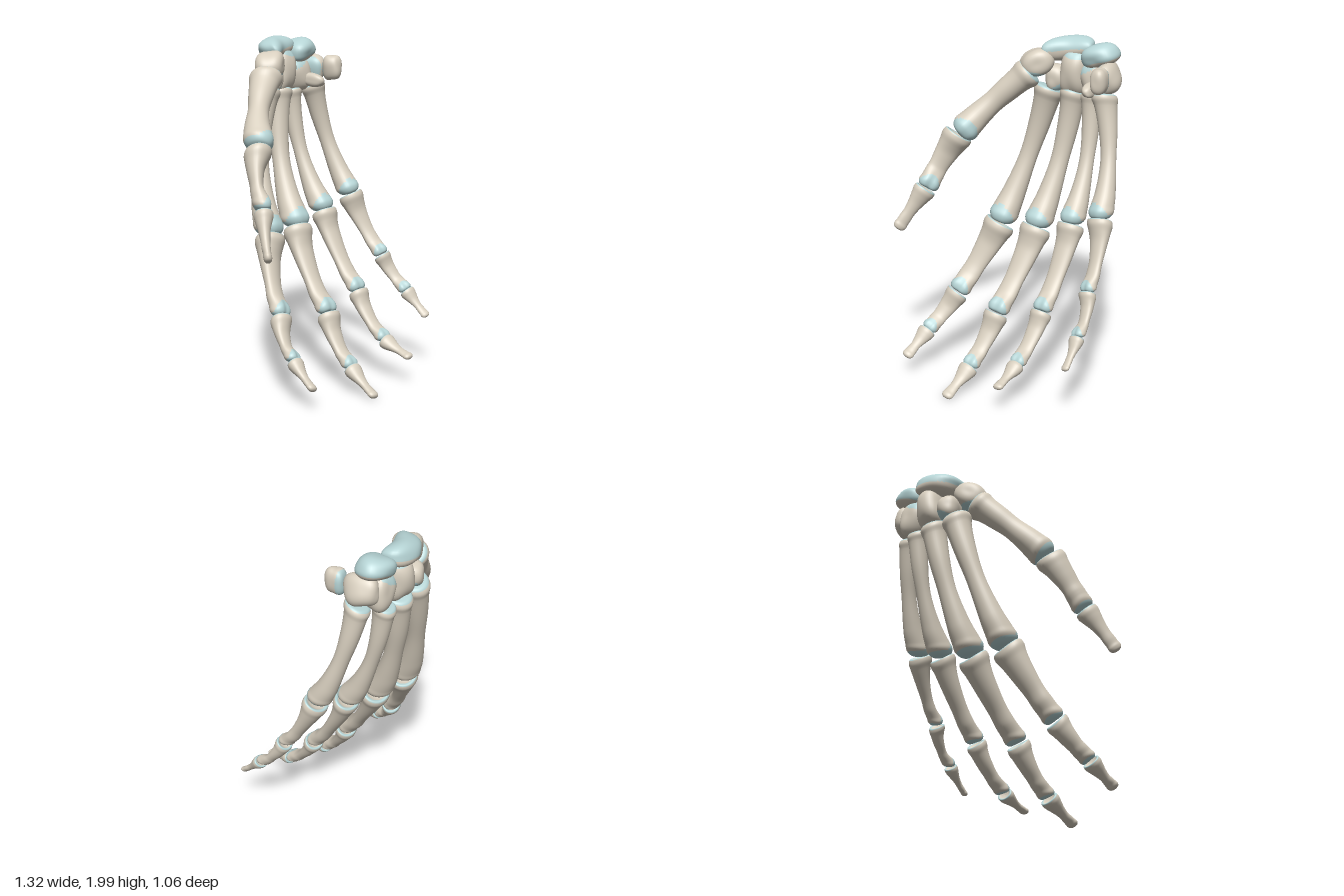
import * as THREE from 'three';
import { mergeVertices } from 'three/addons/utils/BufferGeometryUtils.js';

const V = (a) => new THREE.Vector3(...a);
const boneMat = new THREE.MeshStandardMaterial({ color: 0xd8cfbf });
const cartilageMat = new THREE.MeshStandardMaterial({ color: 0xb7d5d6 });
const { smoothstep, lerp } = THREE.MathUtils;

// Mesh with two material groups: bone surface and cartilage surface
function twoToneMesh(name, positions, boneIdx, cartIdx) {
  let geo = new THREE.BufferGeometry();
  geo.setAttribute('position', new THREE.Float32BufferAttribute(positions, 3));
  geo.setIndex([...boneIdx, ...cartIdx]);
  geo.addGroup(0, boneIdx.length, 0);
  geo.addGroup(boneIdx.length, cartIdx.length, 1);
  geo = mergeVertices(geo, 1e-5);
  geo.computeVertexNormals();
  const mesh = new THREE.Mesh(geo, [boneMat, cartilageMat]);
  mesh.name = name;
  return mesh;
}

// Long bone lofted from a to b: cupped base, narrow waist, rounded or two-knuckled head
function longBone(name, a, b, o) {
  const A = V(a), d = V(b).sub(A), L = d.length();
  d.normalize();
  const p = V(o.palm).addScaledVector(d, -V(o.palm).dot(d)).normalize();
  const s = new THREE.Vector3().crossVectors(p, d);
  const { base, waist, head } = o;
  const kb = base / L, kh = head / L;
  // x = position along the bone, y = half width, z = half depth
  const row = (t, w, f) => new THREE.Vector3(t, w, w * f);
  const profile = new THREE.CatmullRomCurve3([
    row(o.cup * kb, 0, o.baseFlat), row(o.cup * kb * 0.6, base * 0.5, o.baseFlat),
    row(0, base * 0.88, o.baseFlat), row(kb * 0.3, base, o.baseFlat),
    row(kb * 0.85, base * 0.88, o.baseFlat),
    row(lerp(kb, o.waistAt, 0.45), lerp(base, waist, 0.72), lerp(o.baseFlat, o.flat, 0.6)),
    row(o.waistAt, waist, o.flat),
    row(lerp(o.waistAt, 1 - kh * 1.2, 0.6), lerp(waist, head, 0.4), lerp(o.flat, o.headFlat, 0.5)),
    row(1 - kh * 1.2, head * 0.95, o.headFlat), row(1 - kh * 0.65, head, o.headFlat),
    row(1 - kh * 0.2, head * 0.75, o.headFlat), row(1 - kh * 0.05, head * 0.4, o.headFlat),
    row(1, 0, o.headFlat),
  ]);
  const ROWS = 72, COLS = 32, pos = [], bone = [], cart = [];
  for (let i = 0; i <= ROWS; i++) {
    const r = profile.getPoint(i / ROWS);
    const isHead = smoothstep(r.x, 1 - kh * 2.2, 1 - kh * 0.8);
    const isBase = 1 - smoothstep(r.x, kb * 0.3, kb * 1.6);
    const mid = (1 - isHead) * (1 - isBase);
    for (let j = 0; j < COLS; j++) {
      const ang = (j / COLS) * Math.PI * 2, c = Math.cos(ang), n = Math.sin(ang);
      const w = Math.max(r.y, 0) * c;
      let h = Math.max(r.z, 0) * n;
      // flatter palm side, and a notch between the knuckles
      if (n > 0) h *= (1 - mid * o.palmFlat) * (1 - o.groove * Math.exp(-c * c * 5) * isHead);
      const along = r.x * L + o.groove * head * ((w / head) ** 2 - 0.35) * isHead
        + o.groove * base * 0.35 * (0.5 - (w / base) ** 2) * isBase;
      const off = h + o.lift * head * isHead - o.bow * 4 * r.x * (1 - r.x);
      const v = A.clone().addScaledVector(d, along).addScaledVector(s, w).addScaledVector(p, off);
      pos.push(v.x, v.y, v.z);
      if (i === ROWS) continue;
      const j2 = (j + 1) % COLS, q = i * COLS, q2 = q + COLS;
      const reach = kh * (0.5 + 0.95 * Math.max(0, n));
      const blue = (o.capped && r.x > 1 - reach) || (i < 16 && r.x < kb * 0.06);
      (blue ? cart : bone).push(q + j, q + j2, q2 + j2, q + j, q2 + j2, q2 + j);
    }
  }
  return twoToneMesh(name, pos, bone, cart);
}

const metacarpal = { cup: -0.15, baseFlat: 1.1, flat: 0.92, headFlat: 1.05, waistAt: 0.5, palmFlat: 0,
  groove: 0.08, lift: 0.08, capped: true };
const phalanx = { cup: 0.2, baseFlat: 0.85, flat: 0.74, headFlat: 0.85, waistAt: 0.6, palmFlat: 0.28,
  groove: 0.26, lift: 0.12, bow: 0.02, capped: true };
const tipBone = { cup: 0.2, baseFlat: 0.8, flat: 0.75, headFlat: 0.6, waistAt: 0.58, palmFlat: 0.1,
  groove: 0, lift: 0, bow: 0.004, capped: false };

// Digits: joints from wrist to tip, [base, waist, head] half widths of each bone, bow of the first bone
const digits = [
  { name: 'thumb', palm: [0.6, -0.1, 0.7], bow: 0.025,
    joints: [[-0.07, 1.78, -0.31], [-0.405, 1.405, -0.06], [-0.535, 1.085, 0.1], [-0.645, 0.845, 0.24]],
    sizes: [[0.088, 0.066, 0.085], [0.092, 0.06, 0.066], [0.068, 0.037, 0.04]] },
  { name: 'indexFinger', palm: [0.1, 0, 1], bow: 0.055,
    joints: [[0.01, 1.68, -0.4], [-0.19, 0.86, -0.18], [-0.345, 0.445, 0.05], [-0.435, 0.24, 0.235], [-0.467, 0.12, 0.41]],
    sizes: [[0.088, 0.055, 0.085], [0.098, 0.062, 0.066], [0.07, 0.047, 0.05], [0.054, 0.029, 0.035]] },
  { name: 'middleFinger', palm: [0, 0, 1], bow: 0.055,
    joints: [[0.16, 1.67, -0.43], [0.06, 0.875, -0.195], [-0.012, 0.41, 0.115], [-0.053, 0.135, 0.33], [-0.08, 0.012, 0.53]],
    sizes: [[0.08, 0.055, 0.084], [0.096, 0.062, 0.068], [0.075, 0.05, 0.053], [0.058, 0.03, 0.036]] },
  { name: 'ringFinger', palm: [-0.05, 0, 1], bow: 0.055,
    joints: [[0.275, 1.66, -0.44], [0.302, 0.94, -0.195], [0.29, 0.485, 0.09], [0.27, 0.23, 0.315], [0.268, 0.162, 0.51]],
    sizes: [[0.066, 0.044, 0.073], [0.084, 0.055, 0.06], [0.066, 0.046, 0.05], [0.053, 0.027, 0.032]] },
  { name: 'littleFinger', palm: [-0.25, 0, 1], bow: 0.05,
    joints: [[0.4, 1.69, -0.37], [0.515, 1.02, -0.165], [0.57, 0.655, 0.045], [0.61, 0.45, 0.21], [0.622, 0.31, 0.36]],
    sizes: [[0.072, 0.047, 0.07], [0.08, 0.046, 0.05], [0.055, 0.037, 0.044], [0.048, 0.024, 0.028]] },
];

// Wrist bones: squarish pebbles; 'face' is the cartilage direction, 'limit' how far it spreads
const wristBones = [
  { name: 'scaphoid', at: [0.13, 1.922, -0.42], r: [0.155, 0.068, 0.085], rot: [0, 0.4, 0.16], bend: 0.06, face: [0.1, 1, -0.1], limit: -0.1 },
  { name: 'lunate', at: [0.335, 1.905, -0.43], r: [0.108, 0.066, 0.098], rot: [0.1, 0.1, 0.28], bend: 0, face: [0, 1, 0], limit: -0.45 },
  { name: 'triquetrum', at: [0.41, 1.79, -0.4], r: [0.065, 0.09, 0.098], rot: [0.2, 0.2, 0.3], bend: 0, face: [-1, 0.4, 0], limit: 0.45 },
  { name: 'pisiform', at: [0.438, 1.8, -0.25], r: [0.05, 0.078, 0.058], rot: [0, 0, 0.1], bend: 0, face: [0, 0, -1], limit: 0.5 },
  { name: 'hamate', at: [0.31, 1.76, -0.43], r: [0.085, 0.11, 0.088], rot: [0, 0, 0.15], bend: 0, face: [-0.3, 1, 0], limit: 0.5 },
  { name: 'hamateHook', at: [0.34, 1.725, -0.32], r: [0.035, 0.042, 0.085], rot: [0.1, 0.15, 0], bend: 0, face: [0, 0, -1], limit: 2 },
  { name: 'capitate', at: [0.175, 1.785, -0.43], r: [0.088, 0.14, 0.098], rot: [0, 0, -0.08], bend: 0, face: [0, 1, 0], limit: 0.6 },
  { name: 'trapezoid', at: [0.055, 1.745, -0.41], r: [0.068, 0.08, 0.085], rot: [0, 0.3, 0.1], bend: 0, face: [0.3, -1, 0], limit: 0.5 },
  { name: 'trapezium', at: [-0.03, 1.835, -0.325], r: [0.1, 0.078, 0.085], rot: [0, 0.5, 0.4], bend: 0, face: [-0.6, -0.8, 0.1], limit: 0.6 },
];

function wristBone(o, seed) {
  const src = new THREE.SphereGeometry(1, 40, 28);
  const P = src.attributes.position, idx = src.index.array, face = V(o.face).normalize();
  const turn = new THREE.Euler(...o.rot), pos = [], dirs = [], bone = [], cart = [];
  for (let i = 0; i < P.count; i++) {
    const n = new THREE.Vector3().fromBufferAttribute(P, i);
    dirs.push(n.dot(face));
    // squared-off sphere with shallow facets and hollows
    const k = 1 / Math.pow(Math.abs(n.x) ** 2.6 + Math.abs(n.y) ** 2.6 + Math.abs(n.z) ** 2.6, 1 / 2.6);
    const bump = 1 + 0.06 * Math.sin(3 * n.x + seed) * Math.cos(3 * n.y + seed * 2)
      + 0.05 * Math.sin(4 * n.z + seed * 3 + 2 * n.x);
    const v = n.clone().multiplyScalar(k * bump * 0.97).multiply(V(o.r));
    v.z += o.bend * (n.x * n.x - 0.4);
    v.applyEuler(turn).add(V(o.at));
    pos.push(v.x, v.y, v.z);
  }
  for (let i = 0; i < idx.length; i += 3) {
    const t = [idx[i], idx[i + 1], idx[i + 2]];
    const blue = (dirs[t[0]] + dirs[t[1]] + dirs[t[2]]) / 3 > o.limit;
    (blue ? cart : bone).push(...t);
  }
  return twoToneMesh(o.name, pos, bone, cart);
}

export function createModel() {
  const hand = new THREE.Group();
  hand.name = 'handSkeleton';

  const wrist = new THREE.Group();
  wrist.name = 'wrist';
  wristBones.forEach((o, i) => wrist.add(wristBone(o, i * 1.7 + 0.5)));
  hand.add(wrist);

  for (const { name, palm, bow, joints, sizes } of digits) {
    const digit = new THREE.Group();
    digit.name = name;
    sizes.forEach(([base, waist, head], i) => {
      const last = i === sizes.length - 1;
      const style = i === 0 ? { ...metacarpal, bow } : last ? tipBone : phalanx;
      const label = i === 0 ? 'Metacarpal' : last ? 'TipBone' : i === 1 ? 'FirstPhalanx' : 'MiddlePhalanx';
      digit.add(longBone(name + label, joints[i], joints[i + 1], { ...style, palm, base, waist, head }));
    });
    hand.add(digit);
  }
  return hand;
}
